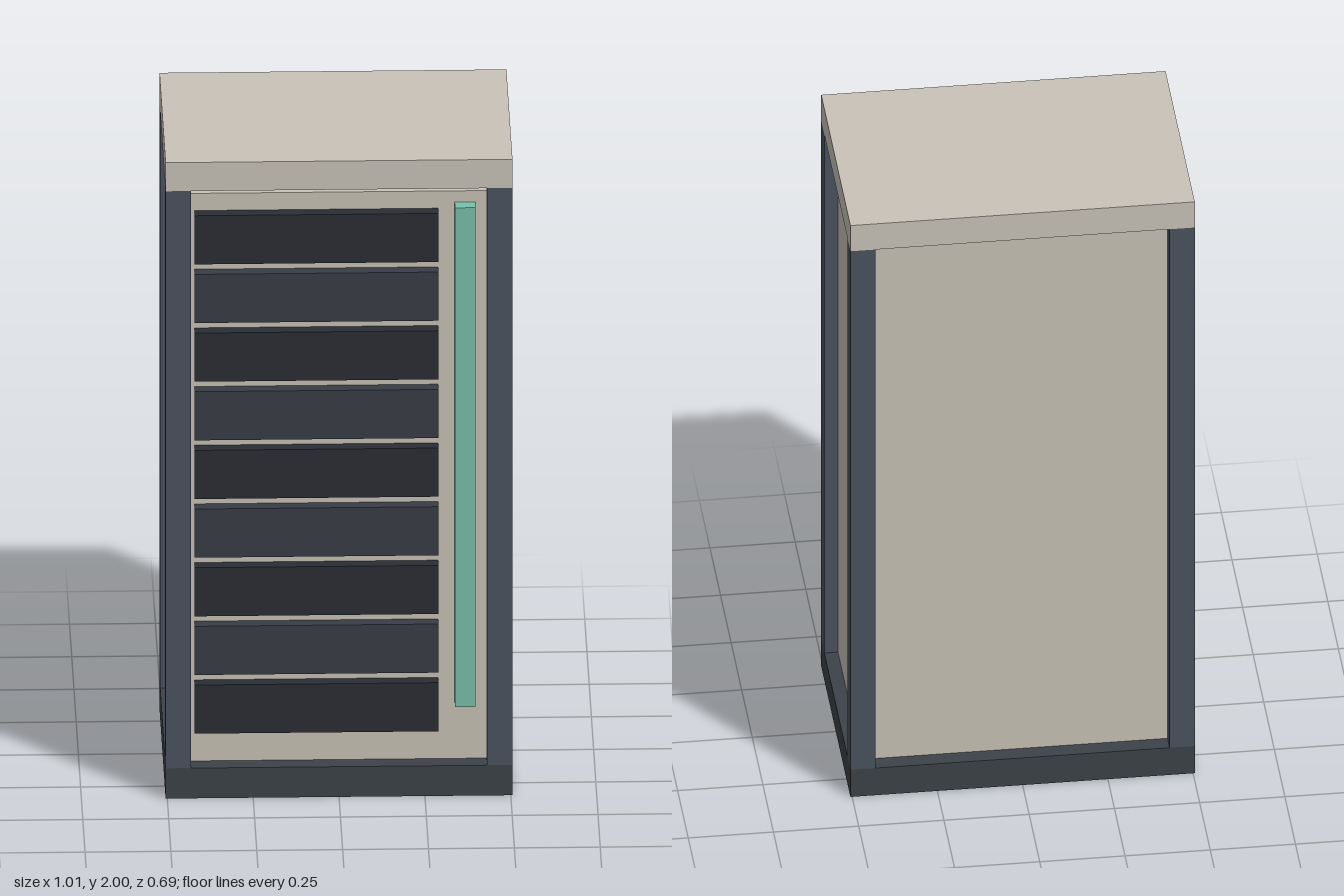
import * as THREE from 'three';

const W = 1.01, D = 0.69, POST = 0.074;

export function createModel() {
  const model = new THREE.Group();
  model.name = 'serverCabinet';

  const paint = (color) => new THREE.MeshStandardMaterial({ color });
  const cream = paint(0xc9c3b9), shell = paint(0xc8c3b7), steel = paint(0x4b535f);
  const plinth = paint(0x3c4349), mint = paint(0x78c2a9);
  const dark = paint(0x2a2d33), slate = paint(0x383c45);

  // Box given by its minimum and maximum corners
  function box(name, material, [x0, y0, z0], [x1, y1, z1]) {
    const mesh = new THREE.Mesh(new THREE.BoxGeometry(x1 - x0, y1 - y0, z1 - z0), material);
    mesh.position.set((x0 + x1) / 2, (y0 + y1) / 2, (z0 + z1) / 2);
    mesh.name = name;
    model.add(mesh);
  }

  // Base, cap and the recessed cabinet body
  box('base', plinth, [-W / 2, 0, -D / 2], [W / 2, 0.095, D / 2]);
  box('topCap', cream, [-W / 2, 1.91, -D / 2], [W / 2, 2, D / 2]);
  box('cabinetBody', shell, [-0.465, 0.095, -0.295], [0.465, 1.88, 0.29]);

  // Corner posts, flush with base and cap
  for (const sx of [-1, 1]) {
    for (const sz of [-1, 1]) {
      const x = sx * (W - POST) / 2, z = sz * (D - POST) / 2, h = POST / 2;
      box('cornerPost', steel, [x - h, 0.095, z - h], [x + h, 1.91, z + h]);
    }
  }

  // Stack of equipment drawers in alternating shades
  for (let i = 0; i < 9; i++) {
    const y = 0.197 + i * 0.1845;
    box('drawer' + (i + 1), i % 2 ? slate : dark, [-0.42, y, 0.27], [0.29, y + 0.153, 0.33]);
  }

  // Vertical light strip beside the drawers
  box('lightStrip', mint, [0.338, 0.275, 0.27], [0.398, 1.845, 0.335]);

  return model;
}
